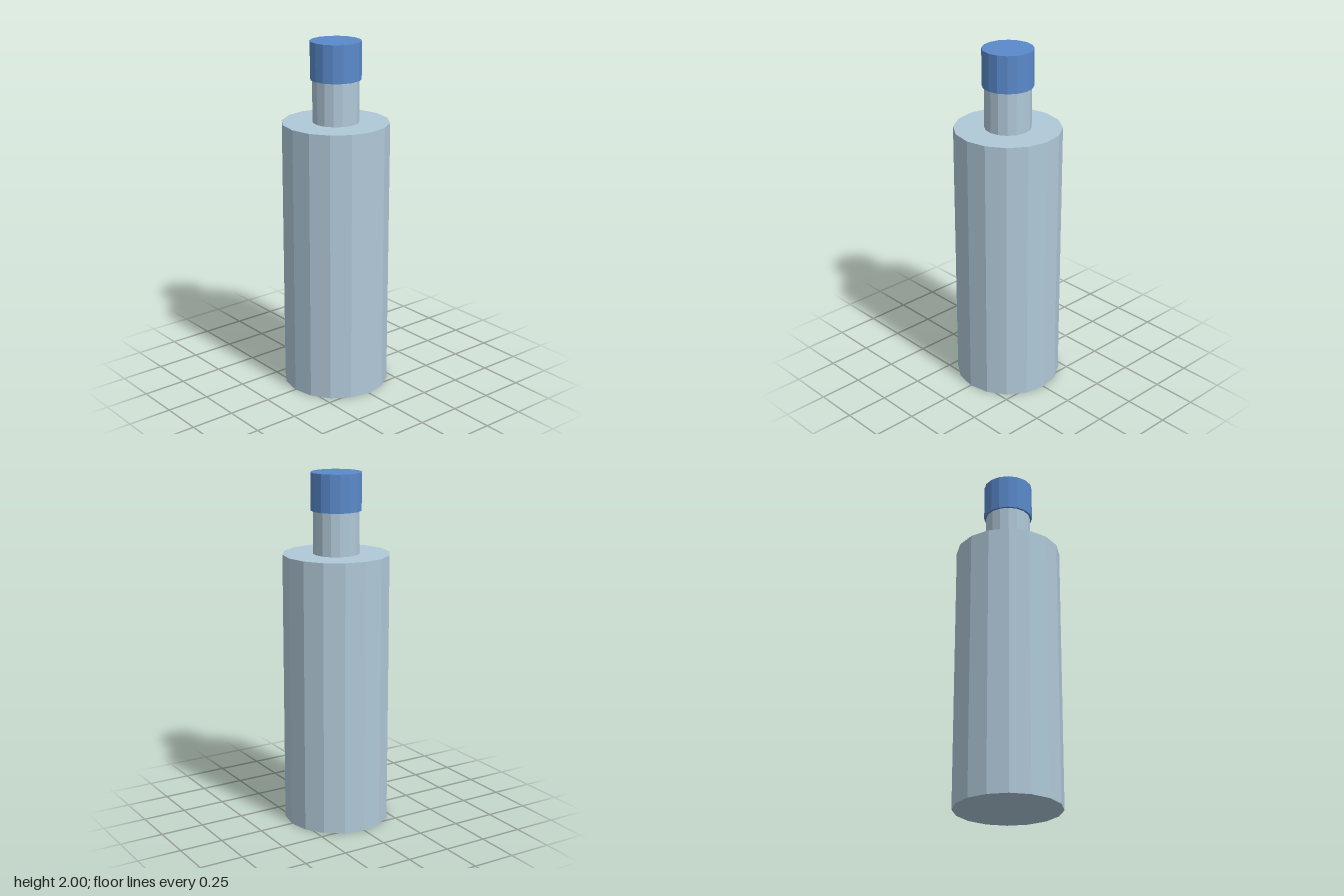
import * as THREE from 'three';

const SIDES = 16;

export function createModel() {
  const group = new THREE.Group();
  const glass = new THREE.MeshStandardMaterial({ color: 0xb0c8d8, flatShading: true });
  const blue = new THREE.MeshStandardMaterial({ color: 0x5a8acb, flatShading: true });

  // Upright faceted cylinder between two heights
  function addCylinder(name, radius, bottom, top, material) {
    const geometry = new THREE.CylinderGeometry(radius, radius, top - bottom, SIDES);
    const mesh = new THREE.Mesh(geometry, material);
    mesh.name = name;
    mesh.position.y = (bottom + top) / 2;
    group.add(mesh);
  }

  addCylinder('body', 0.301, 0, 1.55, glass);
  addCylinder('neck', 0.13, 1.55, 1.79, glass);
  addCylinder('cap', 0.142, 1.79, 2, blue);

  return group;
}
